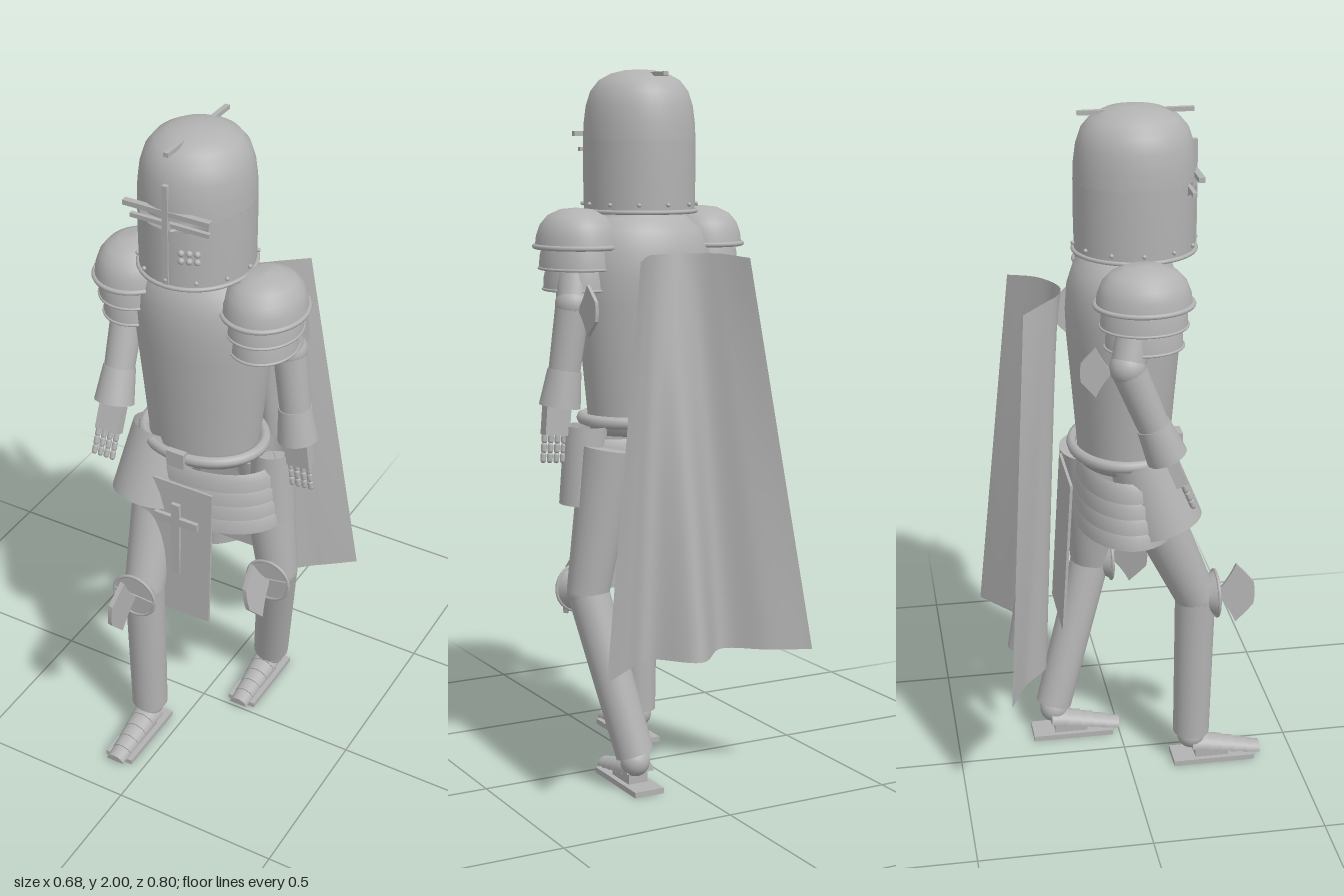
import * as THREE from 'three';

const steel = new THREE.MeshStandardMaterial({ color: 0xb2b2b2, side: THREE.DoubleSide });
steel.name = 'steel grey';
const V = (x, y, z) => new THREE.Vector3(x, y, z);

export function createModel() {
  const root = new THREE.Group();
  root.name = 'armouredFigure';
  const add = (name, geo, x = 0, y = 0, z = 0, parent = root) => {
    const m = new THREE.Mesh(geo, steel);
    m.name = name;
    m.position.set(x, y, z);
    parent.add(m);
    return m;
  };
  const box = (name, w, h, d, x, y, z, parent) => add(name, new THREE.BoxGeometry(w, h, d), x, y, z, parent);
  // Elliptical turned shell: profile of [radius factor, y]
  const turned = (name, pts, rx, rz, x, y, z, phi = 0, len = Math.PI * 2) => {
    const g = new THREE.LatheGeometry(pts.map(p => new THREE.Vector2(p[0], p[1])), 40, phi, len);
    const m = add(name, g, x, y, z);
    m.scale.set(rx, 1, rz);
    return m;
  };
  // Tapered tube between two points
  const link = (name, a, b, ra, rb, open = false) => {
    const d = b.clone().sub(a);
    const m = add(name, new THREE.CylinderGeometry(rb, ra, d.length(), 28, 1, open));
    m.position.copy(a).addScaledVector(d, 0.5);
    m.quaternion.setFromUnitVectors(V(0, 1, 0), d.normalize());
    return m;
  };
  const ball = (name, r, p) => add(name, new THREE.SphereGeometry(r, 20, 14), p.x, p.y, p.z);
  const hoop = (name, rx, rz, t, x, y, z) => {
    const g = new THREE.TorusGeometry(1, t / rx, 8, 40).rotateX(Math.PI / 2);
    g.scale(rx, rx, rz);
    return add(name, g, x, y, z);
  };
  // Flared blade used on knees and elbows; root at origin, opening toward +z
  const fan = (name, s, x, y, z) => {
    const sh = new THREE.Shape();
    sh.moveTo(0, 0);
    sh.quadraticCurveTo(0.035, 0.035, 0.06, 0.092);
    sh.quadraticCurveTo(0.09, 0.06, 0.112, 0.035);
    sh.quadraticCurveTo(0.118, 0, 0.112, -0.035);
    sh.quadraticCurveTo(0.09, -0.06, 0.06, -0.092);
    sh.quadraticCurveTo(0.035, -0.035, 0, 0);
    const g = new THREE.ExtrudeGeometry(sh, { depth: 0.014, bevelEnabled: false, curveSegments: 8 });
    g.translate(0, 0, -0.007).rotateY(-Math.PI / 2).scale(s, s, s);
    return add(name, g, x, y, z);
  };

  // Helmet with an open eye slit across the front
  const HX = -0.003, HZ = 0.027;
  turned('helmetLower', [[0.99, 1.605], [1, 1.7], [1, 1.775]], 0.155, 0.167, HX, 0, HZ);
  turned('helmetEyeBand', [[1, 1.775], [1, 1.805]], 0.155, 0.167, HX, 0, HZ, 0.72, Math.PI * 2 - 1.44);
  turned('helmetDome', [[1, 1.805], [0.99, 1.85], [0.95, 1.9], [0.87, 1.94], [0.72, 1.97],
    [0.5, 1.989], [0.25, 1.998], [0, 2]], 0.155, 0.167, HX, 0, HZ);
  hoop('helmetRim', 0.156, 0.168, 0.006, HX, 1.61, HZ);
  for (let i = 0; i < 12; i++) {
    const a = i * Math.PI / 6;
    ball('helmetRivet', 0.006, V(HX + 0.157 * Math.sin(a), 1.63, HZ + 0.169 * Math.cos(a)));
  }
  box('helmetCrest', 0.014, 0.012, 0.315, HX, 1.985, 0.03);
  box('faceCrossUpright', 0.016, 0.285, 0.014, HX, 1.76, 0.191);
  box('faceCrossBar', 0.255, 0.014, 0.018, HX, 1.823, 0.186);
  box('visorBar', 0.235, 0.012, 0.012, HX, 1.78, 0.17);
  for (let i = 0; i < 3; i++) for (let j = 0; j < 2; j++)
    ball('breathStud', 0.009, V(0.04 + i * 0.02, 1.695 + j * 0.023, HZ + 0.162 - i * 0.007));

  // Torso and belt
  turned('breastplate', [[0, 0.99], [0.8, 0.99], [0.82, 1.04], [0.9, 1.2], [0.98, 1.35], [1, 1.43], [0.97, 1.5],
    [0.85, 1.56], [0.62, 1.595], [0.45, 1.61], [0.45, 1.65]], 0.202, 0.16, 0, 0, -0.004);
  hoop('belt', 0.18, 0.148, 0.017, 0, 1.03, -0.003);
  box('buckle', 0.055, 0.05, 0.02, 0, 1.03, 0.155);

  // Layered skirt rings
  for (let i = 0; i < 4; i++) {
    const y = 0.985 - i * 0.045, r = 0.94 + i * 0.03;
    turned('skirtRing', [[r + 0.05, y - 0.055], [r + 0.035, y - 0.02], [r - 0.03, y]], 0.225, 0.137, 0.01, 0, 0);
  }

  // Tabards front and back
  const front = box('frontTabard', 0.23, 0.45, 0.008, 0, 0.715, 0.163);
  front.rotation.x = -0.04;
  box('tabardCrossUpright', 0.026, 0.25, 0.012, 0.005, 0.755, 0.17);
  box('tabardCrossBar', 0.14, 0.026, 0.012, 0.005, 0.82, 0.169);
  const back = box('backTabard', 0.23, 0.46, 0.008, 0, 0.725, -0.183);
  back.rotation.x = 0.06;

  // Legs: hip, knee, ankle, foot centre x and foot front z
  const legs = [
    { hip: V(-0.115, 0.96, 0.02), knee: V(-0.088, 0.565, 0.195), ankle: V(-0.083, 0.1, 0.19), fx: -0.083, fz: 0.4 },
    { hip: V(0.15, 0.96, -0.085), knee: V(0.212, 0.555, -0.07), ankle: V(0.132, 0.105, -0.2), fx: 0.122, fz: 0.0 },
  ];
  legs.forEach((L, k) => {
    link('thigh', L.knee, L.hip, 0.06, 0.083);
    ball('kneeJoint', 0.06, L.knee);
    link('shin', L.ankle, L.knee, 0.054, 0.059);
    // Knee cop: shallow cup, rim, band and blade
    const kz = L.knee.z + 0.06, tilt = k ? 0.2 : -0.06;
    const cup = add('kneeCup', new THREE.CylinderGeometry(0.07, 0.048, 0.035, 24), L.knee.x, L.knee.y, kz - 0.016);
    cup.rotation.x = Math.PI / 2;
    add('kneeRim', new THREE.TorusGeometry(0.068, 0.005, 8, 28), L.knee.x, L.knee.y, kz);
    box('kneeBand', 0.135, 0.012, 0.012, L.knee.x, L.knee.y, kz).rotation.z = tilt;
    const blade = fan('kneeBlade', 1, L.knee.x, L.knee.y, kz);
    blade.rotation.set(0, -0.12, tilt);
    // Sole and overlapping foot plates
    box('sole', 0.09, 0.016, 0.245, L.fx, 0.011, L.fz - 0.145);
    for (let i = 0; i < 5; i++) {
      const g = new THREE.CylinderGeometry(0.028 + i * 0.003, 0.031 + i * 0.003, 0.052, 16, 1, false, 0, Math.PI);
      g.rotateZ(Math.PI / 2).rotateY(Math.PI / 2).scale(1, 0.85, 1);
      const p = add('footPlate', g, L.fx, 0.018 + i * 0.008, L.fz - 0.027 - i * 0.04);
      p.rotation.x = 0.12;
    }
    box('instep', 0.06, 0.03, 0.1, L.fx, 0.033, L.fz - 0.15);
    ball('ankleJoint', 0.042, V(L.ankle.x, 0.085, L.ankle.z));
  });

  // Thigh guards
  const guardR = link('rightThighGuard', V(-0.125, 0.825, 0.092), V(-0.11, 1.03, 0.03), 0.113, 0.093, true);
  guardR.name = 'rightThighGuard';
  const guardL = link('leftThighGuard', V(0.21, 0.8, -0.035), V(0.2, 1.02, -0.035), 0.066, 0.06, true);
  guardL.name = 'leftThighGuard';

  // Shoulders and arms
  const arms = [
    { s: -1, elbow: V(-0.262, 1.36, -0.035), wrist: V(-0.252, 1.09, 0.075), hand: V(-0.25, 1.03, 0.105) },
    { s: 1, elbow: V(0.242, 1.36, -0.045), wrist: V(0.28, 1.08, -0.037), hand: V(0.29, 1.02, -0.03) },
  ];
  for (const A of arms) {
    const cx = A.s * 0.198, cz = 0.02;
    turned('shoulderDome', [[1, 1.515], [0.97, 1.545], [0.88, 1.575], [0.7, 1.6], [0.4, 1.617], [0, 1.622]],
      0.112, 0.13, cx, 0, cz);
    hoop('shoulderRim', 0.113, 0.131, 0.007, cx, 1.515, cz);
    turned('shoulderPlate', [[0.94, 1.455], [0.92, 1.49], [0.85, 1.52]], 0.108, 0.126, cx, 0, cz);
    turned('shoulderPlate', [[0.87, 1.395], [0.85, 1.43], [0.79, 1.46]], 0.104, 0.122, cx, 0, cz);
    hoop('shoulderPlateRim', 0.101, 0.118, 0.004, cx, 1.455, cz);
    hoop('shoulderPlateRim', 0.09, 0.106, 0.004, cx, 1.397, cz);
    link('upperArm', A.elbow, V(A.s * 0.205, 1.52, 0.005), 0.046, 0.055);
    ball('elbowJoint', 0.05, A.elbow);
    link('forearm', A.wrist, A.elbow, 0.042, 0.048);
    link('cuff', A.wrist, A.wrist.clone().lerp(A.elbow, 0.36), 0.058, 0.047);
    const blade = fan('elbowBlade', 0.76, A.elbow.x, A.elbow.y - 0.01, A.elbow.z - 0.04);
    blade.rotation.y = Math.PI + A.s * 0.12;
    // Hand with four jointed fingers
    const hand = new THREE.Group();
    hand.name = 'hand';
    hand.position.copy(A.hand);
    hand.rotation.set(A.s < 0 ? -0.4 : 0.05, 0, A.s < 0 ? 0 : 0.1);
    root.add(hand);
    box('palm', 0.074, 0.085, 0.034, 0, 0.022, 0, hand);
    for (let f = 0; f < 4; f++) for (let j = 0; j < 3; j++)
      add('fingerJoint', new THREE.CapsuleGeometry(0.0085, 0.014, 4, 8),
        (f - 1.5) * 0.02, -0.03 - j * 0.027, 0.004, hand);
  }

  // Cape: folded sheet lofted between a top and a bottom curve
  const top = new THREE.CatmullRomCurve3([V(-0.17, 1.49, -0.3), V(-0.11, 1.5, -0.235), V(-0.06, 1.5, -0.195),
    V(0, 1.5, -0.177), V(0.06, 1.5, -0.195), V(0.11, 1.5, -0.235), V(0.17, 1.49, -0.305)]);
  const hem = new THREE.CatmullRomCurve3([V(-0.34, 0.39, -0.375), V(-0.23, 0.39, -0.325), V(-0.12, 0.39, -0.25),
    V(0.005, 0.39, -0.35), V(0.12, 0.39, -0.25), V(0.22, 0.39, -0.32), V(0.322, 0.39, -0.4)]);
  const cols = 48, rows = 16;
  const cape = new THREE.PlaneGeometry(1, 1, cols, rows);
  const pos = cape.attributes.position;
  for (let r = 0; r <= rows; r++) for (let c = 0; c <= cols; c++) {
    const p = top.getPoint(1 - c / cols).lerp(hem.getPoint(1 - c / cols), r / rows);
    pos.setXYZ(r * (cols + 1) + c, p.x, p.y, p.z);
  }
  cape.computeVertexNormals();
  add('cape', cape);

  return root;
}
